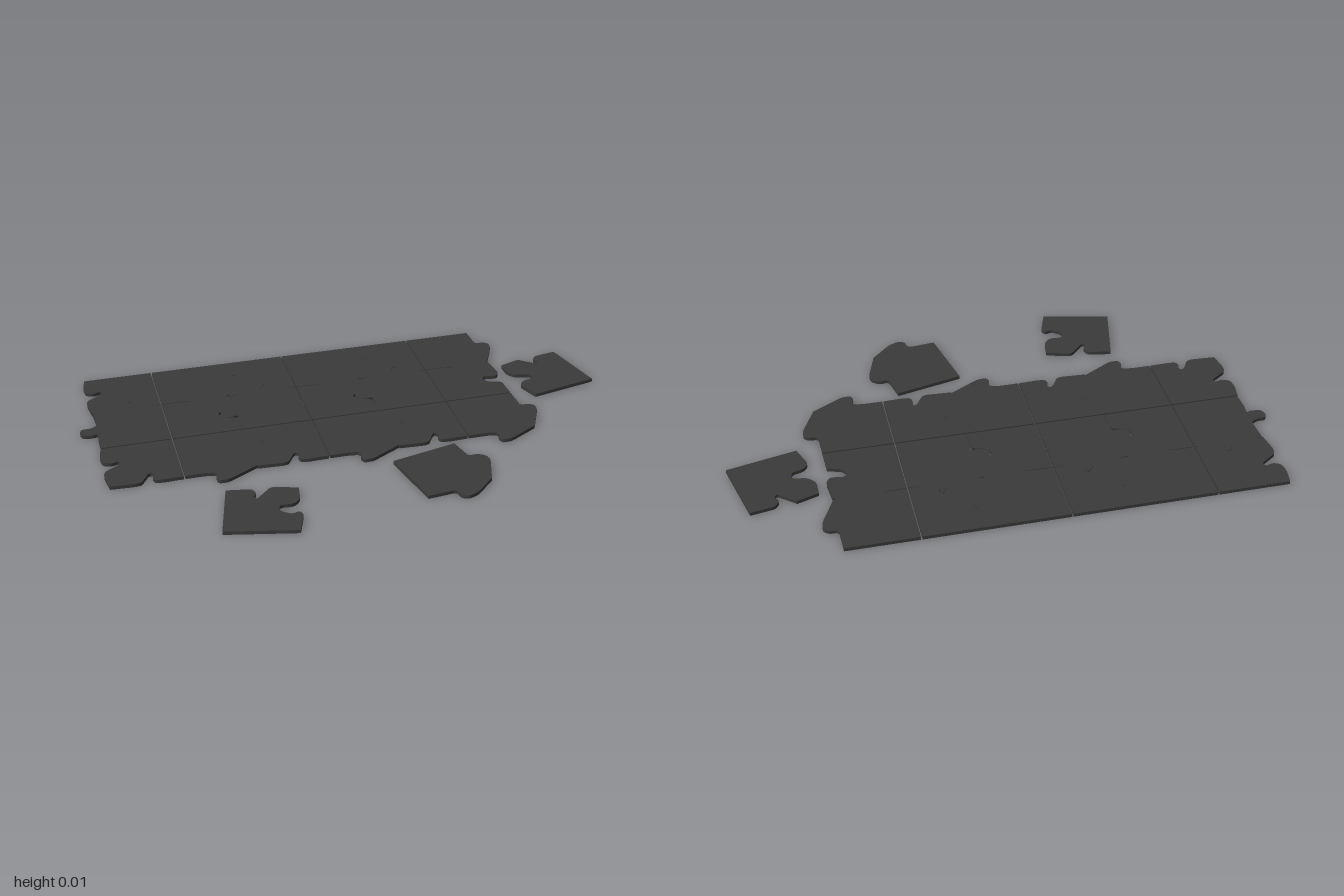
import * as THREE from 'three';

const THICK = 0.013;
const CELL = 0.265;
const material = new THREE.MeshStandardMaterial({ color: 0x3a3a3a });

// Outlines of the four interlocking pieces, in percent of a cell (x right, z forward)
const notchedBack = [
  [0, 1], [99, 1], [99, 100], [70, 101], [60, 99], [58, 92], [61, 84], [57, 80],
  [53, 83], [43, 100], [36, 102], [0, 100], [-4, 72], [-2, 62], [22, 46], [20, 39],
  [8, 43], [-2, 38], [-4, 24],
];
const tabbedBack = [
  [1, 1], [100, 1], [101, 38], [114, 38], [121, 44], [120, 56], [100, 98],
  [56, 123], [43, 123], [40, 116], [44, 103], [30, 100], [1, 100],
];
const tabbedFront = [
  [1, 1], [36, 1], [44, -2], [53, -16], [57, -19], [60, -16], [58, -8], [61, 0],
  [99, 1], [99, 99], [1, 99], [0, 74], [2, 59], [-6, 62], [-20, 60], [-23, 50],
  [-20, 42], [-6, 42], [3, 36],
];
const notchedFront = [
  [1, 1], [34, 1], [44, 4], [40, 16], [43, 23], [54, 20], [66, 1], [100, 1],
  [104, 36], [98, 46], [78, 43], [74, 50], [78, 59], [99, 66], [100, 99], [1, 99],
];

// Outlines of the loose pieces, in hundredths of a unit
const looseFrontRight = [
  [-55.3, 30.5], [-46.3, 32.1], [-45.2, 34.8], [-46.8, 37.4], [-45.7, 38.5],
  [-39.8, 32.6], [-37.2, 33.2], [-30.2, 35.3], [-31.3, 42.2], [-34, 44.9],
  [-39.3, 44.4], [-39.8, 48.1], [-36.1, 50.8], [-33.4, 49.7], [-32.4, 51.9],
  [-35.6, 61], [-61.2, 55.1],
];
const looseFrontLeft = [
  [6.7, 27.3], [31.8, 21.4], [34, 31], [37.7, 30.5], [40.4, 32.6], [40.9, 35.3],
  [37.2, 47.1], [29.7, 54.5], [25.9, 56.1], [23.3, 55.1], [22.7, 51.3], [12, 52.4],
];
const looseLeft = [
  [69.3, -31], [77.3, -33.7], [83.7, -28.3], [84.8, -29.9], [83.2, -32.1],
  [84.8, -34.8], [93.9, -36.4], [100, -11], [74.1, -5.3], [70.9, -13.9],
  [73, -16.6], [77.3, -17.6], [77.8, -20.9], [71.9, -21.9], [69.3, -25.1],
];

// Flat piece from an outline; corners beside short edges are rounded
function pieceGeometry(outline, scale) {
  const pts = outline.map(([x, z]) => new THREE.Vector2(x * scale, z * scale));
  const shape = new THREE.Shape();
  pts.forEach((p, i) => {
    const before = pts[(i + pts.length - 1) % pts.length];
    const after = pts[(i + 1) % pts.length];
    const shortest = Math.min(p.distanceTo(before), p.distanceTo(after));
    const r = shortest < 0.055 ? shortest * 0.42 : 0;
    const a = p.clone().add(before.clone().sub(p).setLength(r));
    const b = p.clone().add(after.clone().sub(p).setLength(r));
    if (i === 0) shape.moveTo(a.x, a.y);
    else shape.lineTo(a.x, a.y);
    if (r > 0) shape.quadraticCurveTo(p.x, p.y, b.x, b.y);
  });
  shape.closePath();
  const geometry = new THREE.ExtrudeGeometry(shape, {
    depth: THICK, bevelEnabled: false, curveSegments: 4,
  });
  return geometry.rotateX(Math.PI / 2).translate(0, THICK, 0);
}

export function createModel() {
  const model = new THREE.Group();
  model.name = 'jigsawPuzzle';

  const add = (name, geometry, x = 0, z = 0) => {
    const mesh = new THREE.Mesh(geometry, material);
    mesh.name = name;
    mesh.position.set(x, 0, z);
    model.add(mesh);
  };

  // Joined sheet: three rows of six, repeating a two by two pattern
  const types = [
    [notchedBack, tabbedBack],
    [tabbedFront, notchedFront],
  ].map((row) => row.map((outline) => pieceGeometry(outline, CELL / 100)));
  for (let row = 0; row < 3; row++) {
    for (let col = 0; col < 6; col++) {
      add(`joinedPiece${row + 1}x${col + 1}`, types[row % 2][col % 2],
        -0.94 + col * CELL, -0.62 + row * CELL);
    }
  }

  // Loose pieces lying beside the sheet
  add('loosePieceFrontRight', pieceGeometry(looseFrontRight, 0.01));
  add('loosePieceFrontLeft', pieceGeometry(looseFrontLeft, 0.01));
  add('loosePieceLeft', pieceGeometry(looseLeft, 0.01));

  return model;
}
